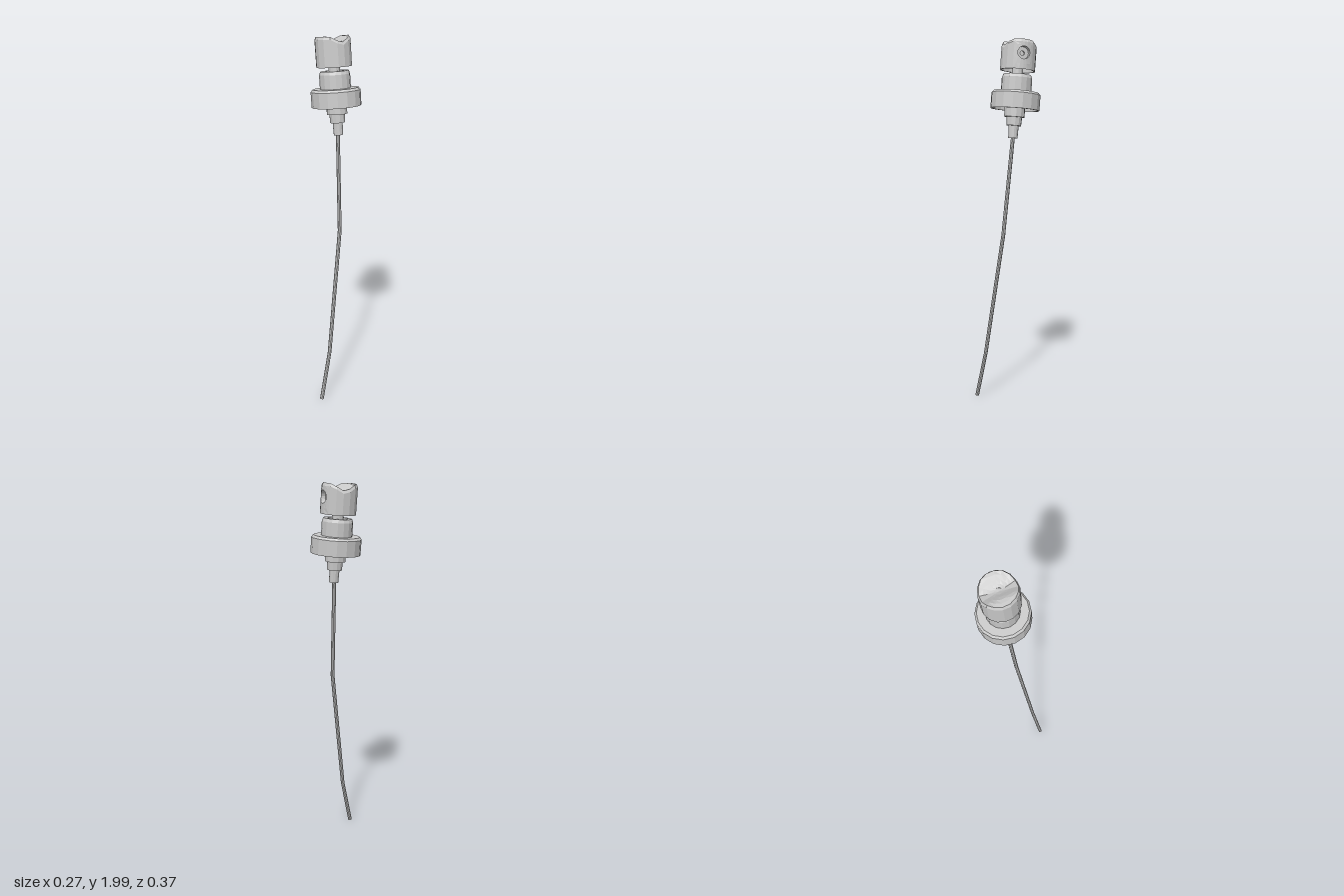
import * as THREE from 'three';

const SIDES = 16;
const material = new THREE.MeshStandardMaterial({ color: 0xcccccc, flatShading: true, side: THREE.DoubleSide });

function addMesh(parent, name, geometry) {
  const mesh = new THREE.Mesh(geometry, material);
  mesh.name = name;
  parent.add(mesh);
  return mesh;
}

// Turned part from [radius, height] pairs
function turned(profile, sides = SIDES, start = 0, length = Math.PI * 2) {
  return new THREE.LatheGeometry(profile.map(([r, y]) => new THREE.Vector2(r, y)), sides, start, length);
}

// Surface through closed rings of equal point count
function loft(rings) {
  const n = rings[0].length, index = [];
  for (let i = 0; i < rings.length - 1; i++) {
    for (let j = 0; j < n; j++) {
      const a = i * n + j, b = i * n + (j + 1) % n;
      index.push(a, b, a + n, b, b + n, a + n);
    }
  }
  const geometry = new THREE.BufferGeometry();
  geometry.setAttribute('position', new THREE.Float32BufferAttribute(rings.flat(2), 3));
  geometry.setIndex(index);
  geometry.computeVertexNormals();
  return geometry;
}

// Push button: nozzle faces local +z, finger groove runs along local x
function createButton() {
  const button = new THREE.Group();
  button.name = 'button';
  const R = 0.093, bottom = 0.166, shoulder = 0.305;
  const half = 1.5 * Math.PI * 2 / SIDES;

  const dish = (geometry) => {
    const p = geometry.attributes.position;
    for (let i = 0; i < p.count; i++) {
      const s = (p.getZ(i) - 0.01) / 0.072;
      if (p.getY(i) > 0.29 && Math.abs(s) < 1) {
        p.setY(i, p.getY(i) - 0.032 * Math.cos(s * Math.PI / 2) ** 2);
      }
    }
    geometry.computeVertexNormals();
    return geometry;
  };

  // Wall leaves a gap for the nozzle panel
  addMesh(button, 'buttonWall', dish(turned([[0.084, bottom], [R, bottom], [R, shoulder]],
    SIDES - 3, half, Math.PI * 2 - 2 * half)));
  addMesh(button, 'buttonTop', dish(turned(
    [[R, shoulder], [0.086, 0.32], [0.068, 0.32], [0.05, 0.32], [0.034, 0.32], [0.017, 0.32], [0, 0.32]],
    SIDES, half)));

  // Curved panel with a round recess
  const steps = 16, holeY = 0.25, holeR = 0.033, midY = (bottom + shoulder) / 2;
  const ring = (place) => Array.from({ length: steps }, (_, k) => {
    const t = k / steps * Math.PI * 2;
    return place(Math.cos(t), Math.sin(t));
  });
  const panelRing = (f) => ring((c, s) => {
    const m = Math.max(Math.abs(c), Math.abs(s));
    const u = THREE.MathUtils.lerp(c / m * R * Math.sin(half), c * holeR, f);
    const v = THREE.MathUtils.lerp(midY + s / m * (shoulder - bottom) / 2, holeY + s * holeR, f);
    return [u, v, Math.sqrt(R * R - u * u)];
  });
  const recessRing = (r, z) => ring((c, s) => [c * r, holeY + s * r, z]);
  addMesh(button, 'nozzlePanel', loft([
    panelRing(0), panelRing(0.5), panelRing(1),
    recessRing(holeR, 0.062), recessRing(0.012, 0.062), recessRing(0.012, 0.05), recessRing(0, 0.05),
  ]));

  button.rotation.y = 2.76;
  return button;
}

export function createModel() {
  const model = new THREE.Group();
  model.name = 'sprayPump';

  // Tilted pump head, heights measured from the collar
  const head = new THREE.Group();
  head.name = 'pumpHead';
  head.position.set(0, 1.67, -0.052);
  head.rotation.z = 0.09;
  model.add(head);

  head.add(createButton());
  addMesh(head, 'stem', turned([[0.03, 0.13], [0.03, 0.21], [0.018, 0.21], [0.018, 0.29]], 12));
  addMesh(head, 'neck', turned([
    [0.081, 0.05], [0.081, 0.128], [0.074, 0.145], [0.052, 0.145], [0.05, 0.135], [0.02, 0.135],
  ]));
  addMesh(head, 'collar', turned([
    [0.05, 0.04], [0.12, 0.04], [0.12, -0.037], [0.131, -0.037],
    [0.131, 0.044], [0.121, 0.056], [0.075, 0.056],
  ]));

  // Stepped pump body below the collar
  addMesh(head, 'pumpBody', turned([
    [0.008, -0.188], [0.025, -0.188], [0.027, -0.122], [0.04, -0.122],
    [0.042, -0.077], [0.055, -0.077], [0.055, 0.045],
  ], 12));

  // Bent dip tube: one ring of points at each bend
  const bends = [[0.012, 1.52, -0.052], [0.057, 0.96, -0.02], [0.09, 0.27, 0.1], [0.097, 0, 0.174]];
  const tube = bends.map(([x, y, z]) => Array.from({ length: 8 }, (_, k) => {
    const t = k / 8 * Math.PI * 2;
    const lean = y === 0 ? 0.003 * (1 + Math.sin(t)) : 0;
    return [x + 0.0105 * Math.cos(t), y + lean, z + 0.0105 * Math.sin(t)];
  }));
  addMesh(model, 'dipTube', loft(tube));

  return model;
}
